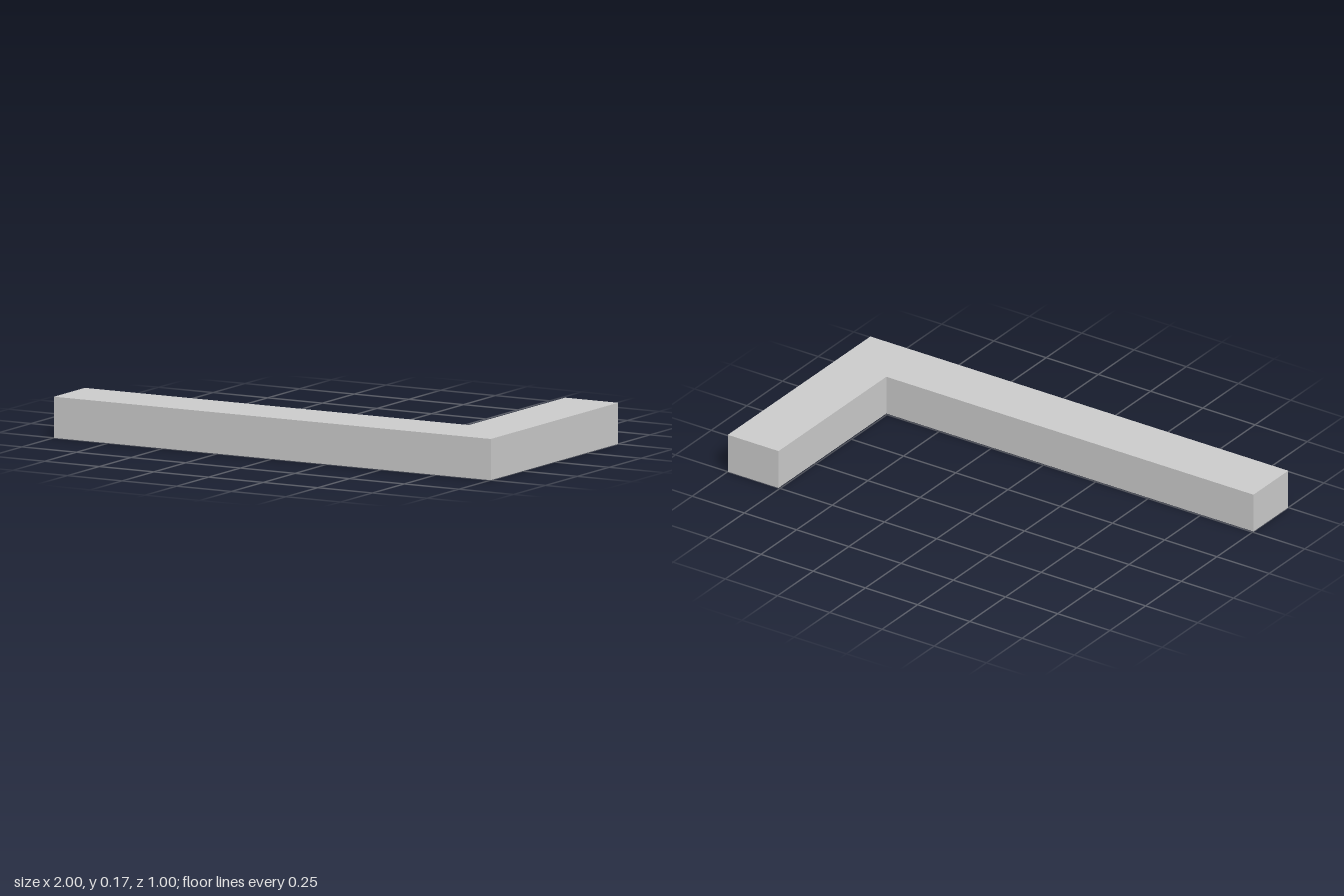
import * as THREE from 'three';

export function createModel() {
  const group = new THREE.Group();
  group.name = 'cornerBar';

  const height = 0.165;
  const innerX = 0.757; // inner side of the short arm
  const innerZ = 0.256; // inner side of the long arm

  // L-shaped plan, drawn with y = -z
  const plan = new THREE.Shape([
    [-1, -0.5], [1, -0.5], [1, 0.5], [innerX, 0.5], [innerX, -innerZ], [-1, -innerZ],
  ].map(([x, y]) => new THREE.Vector2(x, y)));

  // Raise the plan into a solid bar standing on the ground
  const geometry = new THREE.ExtrudeGeometry(plan, { depth: height, bevelEnabled: false });
  geometry.rotateX(-Math.PI / 2);

  const bar = new THREE.Mesh(
    geometry,
    new THREE.MeshStandardMaterial({ color: 0xcccccc, flatShading: true }),
  );
  bar.name = 'lShapedBar';
  group.add(bar);
  return group;
}
